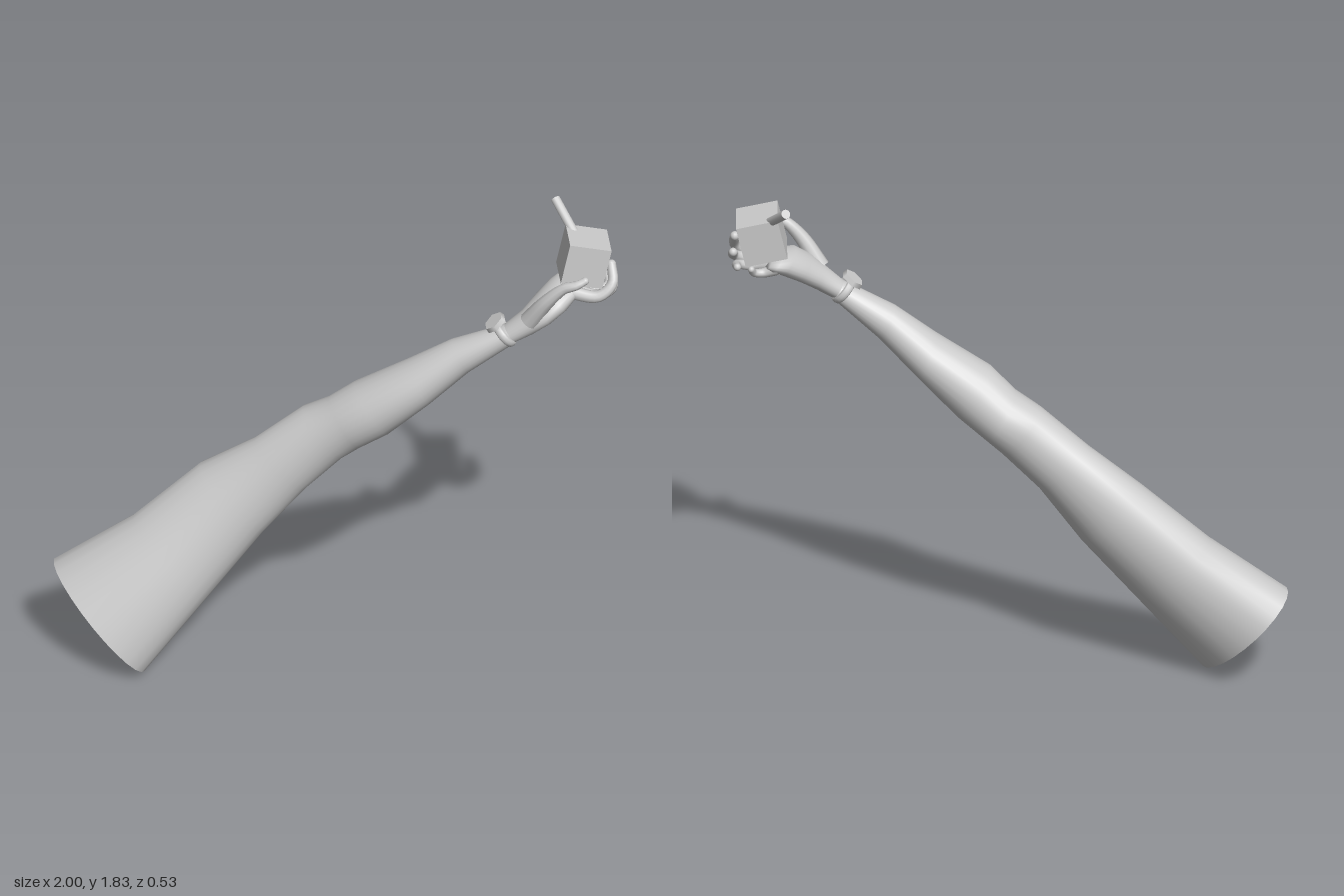
import * as THREE from 'three';

const material = new THREE.MeshStandardMaterial({ color: 0xcccccc, side: THREE.DoubleSide });
const V = (p) => new THREE.Vector3(...p);

function addMesh(parent, name, geometry) {
  const mesh = new THREE.Mesh(geometry, material);
  mesh.name = name;
  parent.add(mesh);
  return mesh;
}

// Skin over oval sections: [upper x, upper y, lower x, lower y, zMin, zMax, skew]
function loft(sections, sides = 24) {
  const positions = [], index = [];
  sections.forEach(([ux, uy, lx, ly, z0, z1, skew = 0], i) => {
    for (let j = 0; j < sides; j++) {
      const t = (j / sides) * Math.PI * 2, k = Math.cos(t) / 2;
      positions.push(
        (ux + lx) / 2 + (ux - lx) * k,
        (uy + ly) / 2 + (uy - ly) * k,
        (z0 + z1) / 2 + ((z1 - z0) / 2) * Math.sin(t - skew));
      if (i < sections.length - 1) {
        const a = i * sides + j, b = i * sides + (j + 1) % sides;
        index.push(a, b, a + sides, b, b + sides, a + sides);
      }
    }
  });
  const g = new THREE.BufferGeometry();
  g.setAttribute('position', new THREE.Float32BufferAttribute(positions, 3));
  g.setIndex(index);
  g.computeVertexNormals();
  return g;
}

// Round finger with a taper towards a domed tip
function finger(parent, name, points, r0, r1) {
  const group = new THREE.Group();
  group.name = name;
  parent.add(group);
  const curve = new THREE.CatmullRomCurve3(points.map(V));
  const rows = 16, sides = 10;
  const g = new THREE.TubeGeometry(curve, rows, 1, sides);
  const pos = g.attributes.position, p = new THREE.Vector3();
  for (let i = 0; i < pos.count; i++) {
    const t = Math.floor(i / (sides + 1)) / rows;
    const c = curve.getPointAt(t);
    p.fromBufferAttribute(pos, i).sub(c).multiplyScalar(r0 + (r1 - r0) * t).add(c);
    pos.setXYZ(i, p.x, p.y, p.z);
  }
  addMesh(group, name + 'Shaft', g);
  const tip = addMesh(group, name + 'Tip', new THREE.SphereGeometry(r1, 12, 8));
  tip.position.copy(V(points[points.length - 1]));
}

export function createModel() {
  const model = new THREE.Group();
  model.name = 'armHoldingDrink';

  // Upper arm, elbow and forearm, open at the shoulder
  addMesh(model, 'arm', loft([
    [-1.0, 0.35, -0.69, 0.0, -0.27, 0.13, 0.4],
    [-0.72, 0.54, -0.45, 0.29, -0.225, 0.09, 0.3],
    [-0.48, 0.75, -0.26, 0.52, -0.21, 0.055, 0.25],
    [-0.29, 0.88, -0.11, 0.71, -0.14, 0.07, 0.2],
    [-0.12, 1.02, 0.02, 0.84, -0.12, 0.09, 0.1],
    [-0.03, 1.07, 0.08, 0.89, -0.105, 0.12],
    [0.06, 1.15, 0.18, 0.965, -0.075, 0.16],
    [0.25, 1.26, 0.32, 1.1, -0.02, 0.18],
    [0.4, 1.36, 0.46, 1.24, 0.045, 0.18],
    [0.55, 1.425, 0.605, 1.36, 0.1, 0.195],
    [0.585, 1.44, 0.625, 1.38, 0.11, 0.197],
  ]));

  // Palm
  const hand = new THREE.Group();
  hand.name = 'hand';
  model.add(hand);
  addMesh(hand, 'palm', loft([
    [0.585, 1.44, 0.625, 1.38, 0.11, 0.197],
    [0.65, 1.495, 0.685, 1.415, 0.1, 0.215],
    [0.7, 1.54, 0.75, 1.46, 0.06, 0.232],
    [0.755, 1.58, 0.81, 1.5, 0.025, 0.215],
    [0.8, 1.59, 0.85, 1.53, 0.0, 0.175],
    [0.835, 1.585, 0.865, 1.545, 0.01, 0.155],
    [0.85, 1.565, 0.85, 1.565, 0.08, 0.08],
  ]));

  // Thumb and the fingers curled under the carton
  finger(hand, 'thumb', [[0.67, 1.48, 0.19], [0.73, 1.575, 0.22], [0.79, 1.635, 0.235], [0.83, 1.65, 0.245], [0.865, 1.665, 0.24]], 0.036, 0.014);
  finger(hand, 'indexFinger', [[0.82, 1.56, 0.14], [0.92, 1.55, 0.165], [0.972, 1.59, 0.15], [0.974, 1.645, 0.105]], 0.025, 0.017);
  finger(hand, 'middleFinger', [[0.82, 1.555, 0.1], [0.92, 1.54, 0.14], [0.975, 1.56, 0.125], [0.98, 1.6, 0.065]], 0.025, 0.016);
  finger(hand, 'ringFinger', [[0.82, 1.55, 0.06], [0.91, 1.53, 0.1], [0.965, 1.545, 0.08], [0.965, 1.56, 0.025]], 0.024, 0.014);
  finger(hand, 'littleFinger', [[0.82, 1.55, 0.03], [0.87, 1.53, 0.04], [0.905, 1.535, 0.03], [0.915, 1.555, 0.015]], 0.022, 0.012);

  // Wristwatch: oval band and six-sided dial
  const watch = new THREE.Group();
  watch.name = 'watch';
  watch.position.set(0.585, 1.412, 0.15);
  watch.rotation.z = Math.PI / 4 - 0.1;
  model.add(watch);
  const band = addMesh(watch, 'watchBand', new THREE.TorusGeometry(0.052, 0.009, 8, 28));
  band.rotation.y = Math.PI / 2;
  band.scale.set(1.02, 0.95, 1.7);
  const dial = addMesh(watch, 'watchDial',
    new THREE.CylinderGeometry(0.04, 0.044, 0.018, 6).toNonIndexed());
  dial.position.set(0, 0.053, -0.005);

  // Drink carton with its straw
  const carton = addMesh(model, 'carton', new THREE.BoxGeometry(0.152, 0.158, 0.155));
  carton.position.set(0.878, 1.666, 0.078);
  carton.rotation.set(-0.04, 0, -0.22);

  const path = new THREE.LineCurve3(V([0.85, 1.735, 0.03]), V([0.792, 1.82, -0.077]));
  const straw = new THREE.Group();
  straw.name = 'straw';
  model.add(straw);
  addMesh(straw, 'strawTube', new THREE.TubeGeometry(path, 1, 0.017, 14));
  const end = addMesh(straw, 'strawEnd', new THREE.CircleGeometry(0.017, 14));
  end.position.copy(path.v2);
  end.lookAt(path.v2.clone().multiplyScalar(2).sub(path.v1));

  return model;
}
